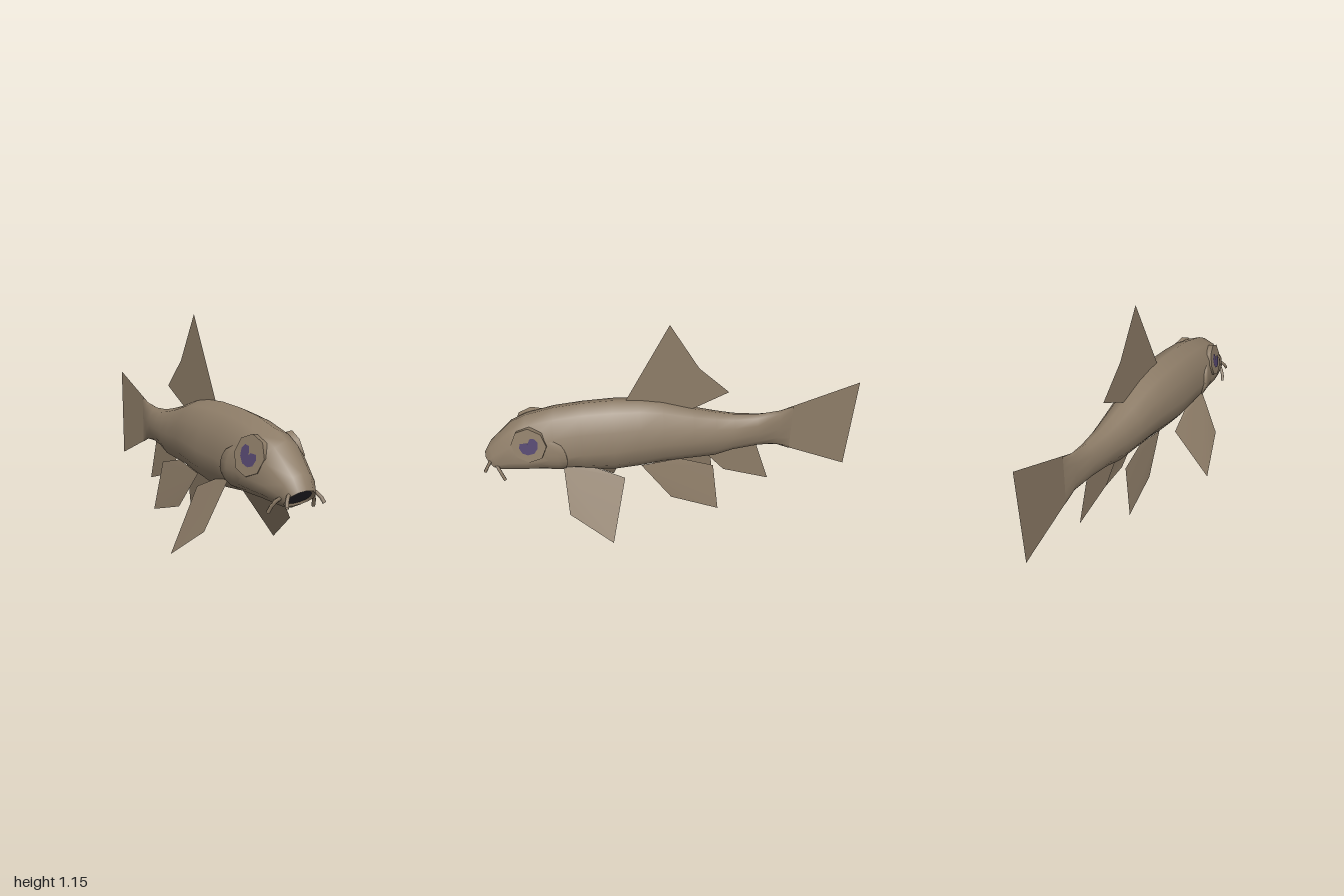
import * as THREE from 'three';

// Body sections, snout to tail: z, top y, bottom y, half width, widest y, lean (z shift top/bottom)
const SECTIONS = [
  [0.945, 0.435, 0.345, 0.075, 0.385, 0.05],
  [0.925, 0.5, 0.338, 0.092, 0.41, 0.035],
  [0.84, 0.62, 0.342, 0.122, 0.44, 0],
  [0.76, 0.66, 0.345, 0.137, 0.45, 0],
  [0.61, 0.7, 0.34, 0.145, 0.47, 0],
  [0.46, 0.72, 0.32, 0.145, 0.49, 0],
  [0.3, 0.73, 0.315, 0.15, 0.5, 0],
  [0.16, 0.725, 0.33, 0.142, 0.515, 0],
  [0.04, 0.707, 0.35, 0.13, 0.52, 0],
  [-0.12, 0.66, 0.358, 0.108, 0.51, 0],
  [-0.24, 0.633, 0.364, 0.09, 0.505, 0],
  [-0.34, 0.615, 0.395, 0.073, 0.505, 0],
  [-0.47, 0.61, 0.41, 0.05, 0.51, 0],
  [-0.59, 0.627, 0.405, 0.02, 0.515, 0],
  [-0.66, 0.648, 0.375, 0.002, 0.515, 0],
];
const SIDES = 12;

function ringPoint([z, top, bottom, w, yc, lean], j, scale = 1) {
  const a = (j / SIDES) * Math.PI * 2, c = Math.cos(a);
  const mid = (top + bottom) / 2;
  const y = yc + (c > 0 ? top - yc : yc - bottom) * c;
  return [w * Math.sin(a) * scale, mid + (y - mid) * scale, z + lean * c * scale];
}

// Half width of the body at a height and length
function surfaceX(y, z) {
  let i = 0;
  while (i < SECTIONS.length - 2 && SECTIONS[i + 1][0] > z) i++;
  const A = SECTIONS[i], B = SECTIONS[i + 1], t = (A[0] - z) / (A[0] - B[0]);
  const [, top, bottom, w, yc] = A.map((v, k) => v + (B[k] - v) * t);
  const d = y > yc ? (y - yc) / (top - yc) : (yc - y) / (yc - bottom);
  return w * Math.sqrt(Math.max(0, 1 - d * d));
}

// Smooth skin through rows of points
function skin(rows, flip = false) {
  const n = rows[0].length, index = [];
  for (let i = 0; i < rows.length - 1; i++)
    for (let j = 0; j < n - 1; j++) {
      const a = i * n + j, b = a + 1, c = a + n, d = c + 1;
      index.push(...(flip ? [a, c, b, b, c, d] : [a, b, c, b, d, c]));
    }
  const g = new THREE.BufferGeometry();
  g.setAttribute('position', new THREE.Float32BufferAttribute(rows.flat(2), 3));
  g.setIndex(index);
  g.computeVertexNormals();
  return g;
}

// Flat polygon fanned from its first corner
function fan(points) {
  const g = new THREE.BufferGeometry(), index = [];
  g.setAttribute('position', new THREE.Float32BufferAttribute(points.flat(), 3));
  for (let i = 1; i < points.length - 1; i++) index.push(0, i, i + 1);
  g.setIndex(index);
  g.computeVertexNormals();
  return g;
}

export function createModel() {
  const group = new THREE.Group();
  const material = (name, color) => {
    const m = new THREE.MeshStandardMaterial({ color, side: THREE.DoubleSide });
    m.name = name;
    return m;
  };
  const brown = material('brown skin', 0x8e7d68);
  const purple = material('purple pupil', 0x54466e);
  const dark = material('dark mouth', 0x29282d);
  const add = (name, geometry, mat, parent = group) => {
    const m = new THREE.Mesh(geometry, mat);
    m.name = name;
    parent.add(m);
    return m;
  };

  // Body: rings joined without a normal seam
  const rows = SECTIONS.map(s => Array.from({ length: SIDES + 1 }, (_, j) => ringPoint(s, j)));
  const body = skin(rows);
  const normals = body.attributes.normal, n = SIDES + 1;
  for (let i = 0; i < rows.length; i++) {
    const v = new THREE.Vector3().fromBufferAttribute(normals, i * n)
      .add(new THREE.Vector3().fromBufferAttribute(normals, i * n + SIDES)).normalize();
    for (const k of [0, SIDES]) normals.setXYZ(i * n + k, v.x, v.y, v.z);
  }
  add('body', body, brown);

  // Mouth: lip turning in to a dark recess
  const rim = scale => Array.from({ length: n }, (_, j) => ringPoint(SECTIONS[0], j, scale));
  const inner = rim(0.84).map(([x, y, z]) => [x, y + 0.004, z - 0.008]);
  add('lip', skin([inner, rim(1)]), brown);
  add('mouth', fan(inner.slice(0, SIDES).reverse()), dark);

  // Single fins on the centre line, corners as z, y
  const flat = pts => fan(pts.map(([z, y]) => [0, y, z]));
  add('dorsalFin', flat([[-0.15, 0.905], [-0.31, 0.755], [-0.12, 0.66], [0.1, 0.65], [0.23, 0.728], [0, 1.155]]), brown);
  add('analFin', flat([[-0.19, 0.37], [-0.3, 0.245], [-0.555, 0.17], [-0.475, 0.41], [-0.3, 0.42]]), brown);
  add('tailFin', flat([[-0.59, 0.515], [-0.59, 0.627], [-1, 0.785], [-0.98, 0.255], [-0.59, 0.405]]), brown);

  for (const s of [1, -1]) {
    const side = new THREE.Group();
    side.name = s > 0 ? 'leftSide' : 'rightSide';
    group.add(side);
    const mirrored = pts => pts.map(([x, y, z]) => [s * x, y, z]);

    // Paired fins
    add('pectoralFin', fan(mirrored([[0.125, 0.41, 0.57], [0.24, 0.17, 0.55], [0.3, 0.005, 0.325],
      [0.115, 0.305, 0.25], [0.1, 0.37, 0.4]])), brown, side);
    add('pelvicFin', fan(mirrored([[0.062, 0.345, 0.16], [0.09, 0.135, 0], [0.117, 0.06, -0.26],
      [0.075, 0.335, -0.23], [0.06, 0.38, -0.05]])), brown, side);

    // Gill cover: raised flap with a rounded rear edge
    const cover = [];
    for (let u = 0; u <= 4; u++) {
      const row = [];
      for (let v = 0; v <= 8; v++) {
        const y = 0.35 + 0.23 * v / 8, bulge = Math.sin(Math.PI * v / 8);
        const t = Math.min(u, 3) / 3, back = 0.62 - 0.075 * Math.sqrt(bulge);
        const z = 0.68 + (back - 0.68) * t;
        const lift = u === 4 ? -0.02 : -0.004 + 0.016 * t * Math.sqrt(bulge);
        row.push([s * (surfaceX(y, z) + lift), y, z]);
      }
      cover.push(row);
    }
    add('gillCover', skin(cover, s > 0), brown, side);

    // Eye: octagonal disc with a notched pupil plate
    const eye = new THREE.Group();
    eye.name = 'eye';
    eye.position.set(s * 0.124, 0.55, 0.74);
    eye.quaternion.setFromUnitVectors(new THREE.Vector3(s, 0, 0), new THREE.Vector3(s, 0.22, 0.2).normalize());
    side.add(eye);
    const disc = new THREE.CylinderGeometry(0.095, 0.095, 0.03, 8);
    disc.rotateZ(-s * Math.PI / 2).translate(-s * 0.015, 0, 0);
    add('eyeDisc', disc, brown, eye);
    const pupil = [[0, 0], [0.012, 0.012], [0.045, 0.01], [0.05, -0.015], [0.035, -0.042], [0.005, -0.052],
      [-0.03, -0.04], [-0.05, -0.01], [-0.05, 0.025], [-0.03, 0.045], [-0.008, 0.04], [0, 0.018]];
    const corners = pupil.map(([z, y]) => [s * 0.003, y, z]);
    add('pupil', fan(s > 0 ? corners.reverse() : corners), purple, eye);

    // Two whiskers beside the mouth
    for (const [from, to] of [[[0.05, 0.425, 0.95], [0.095, 0.37, 0.99]], [[0.075, 0.405, 0.93], [0.12, 0.33, 0.885]]]) {
      const a = new THREE.Vector3(s * from[0], from[1], from[2]);
      const b = new THREE.Vector3(s * to[0], to[1], to[2]);
      const mid = a.clone().lerp(b, 0.5).add(new THREE.Vector3(s * 0.008, 0.008, 0));
      add('barbel', new THREE.TubeGeometry(new THREE.CatmullRomCurve3([a, mid, b]), 3, 0.009, 5), brown, side);
    }
  }
  return group;
}
